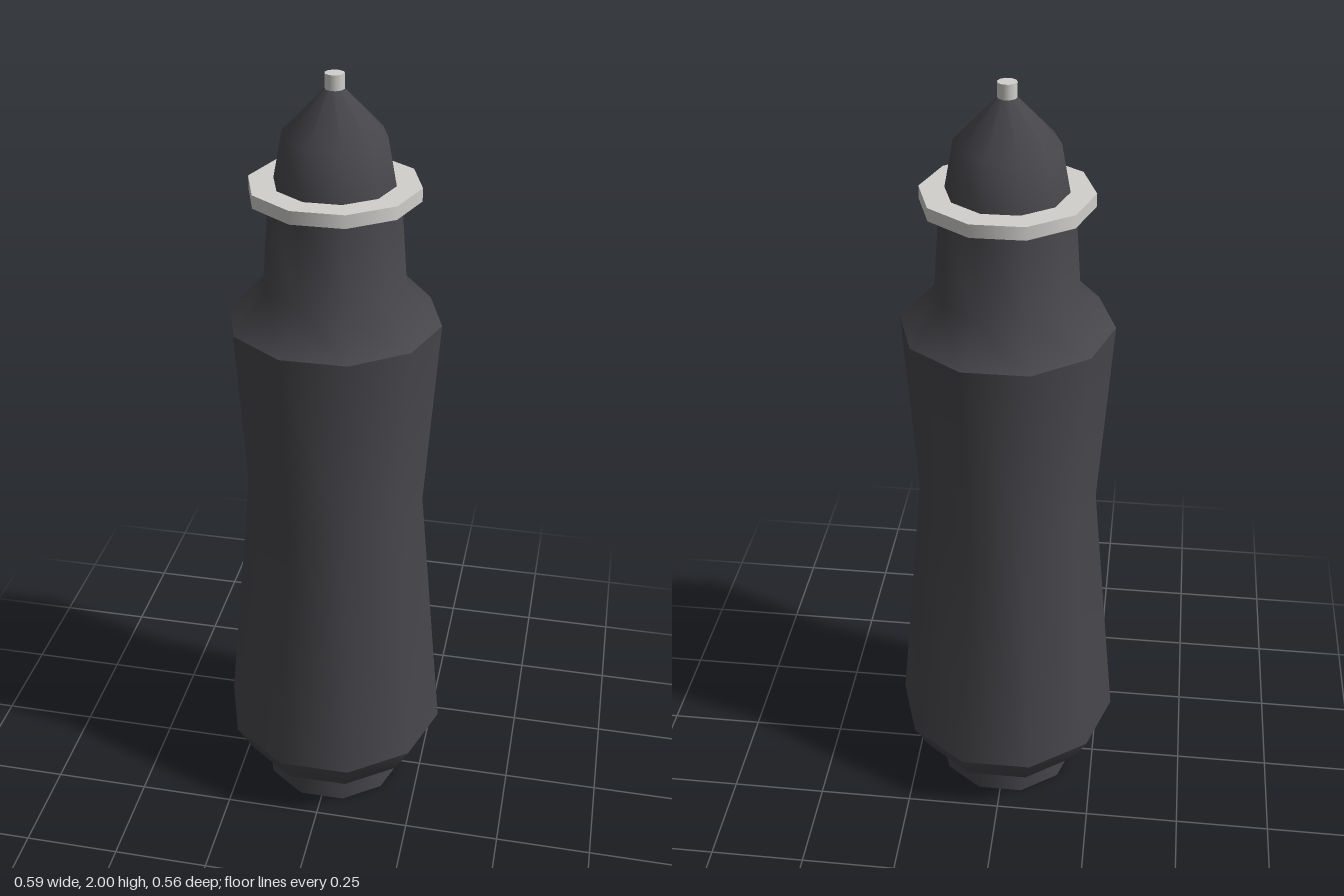
import * as THREE from 'three';

const SIDES = 10;

export function createModel() {
  const model = new THREE.Group();
  const charcoal = new THREE.MeshStandardMaterial({ color: 0x47464b });
  charcoal.name = 'charcoal';
  const paleGrey = new THREE.MeshStandardMaterial({ color: 0xd1d0cd });
  paleGrey.name = 'pale grey';

  // Ten-sided part; each profile in the list is smooth, with sharp edges between profiles
  function turned(name, material, ...profiles) {
    const part = new THREE.Group();
    part.name = name;
    for (const profile of profiles) {
      const points = profile.map(([r, y]) => new THREE.Vector2(r, y));
      const mesh = new THREE.Mesh(new THREE.LatheGeometry(points, SIDES, Math.PI / 2), material);
      mesh.name = name + 'Surface';
      part.add(mesh);
    }
    model.add(part);
  }

  // Foot with closed underside
  turned('foot', charcoal,
    [[0, 0], [0.193, 0]],
    [[0.193, 0], [0.193, 0.075]]);

  // Tapered underside, waisted barrel, shoulder and neck
  turned('body', charcoal,
    [[0.19, 0.07], [0.2, 0.072], [0.25, 0.11], [0.296, 0.195]],
    [[0.296, 0.195], [0.23, 0.91], [0.262, 1.405]],
    [[0.262, 1.405], [0.175, 1.495], [0.157, 1.73]]);

  // Flat collar ring
  turned('collar', paleGrey,
    [[0.13, 1.715], [0.205, 1.715]],
    [[0.205, 1.715], [0.205, 1.747]],
    [[0.205, 1.747], [0.13, 1.747]]);

  // Domed cap
  turned('cap', charcoal,
    [[0.145, 1.745], [0.123, 1.862], [0.02, 1.968]]);

  // Small tip
  turned('tip', paleGrey,
    [[0.023, 1.955], [0.023, 2]],
    [[0.023, 2], [0, 2]]);

  return model;
}
